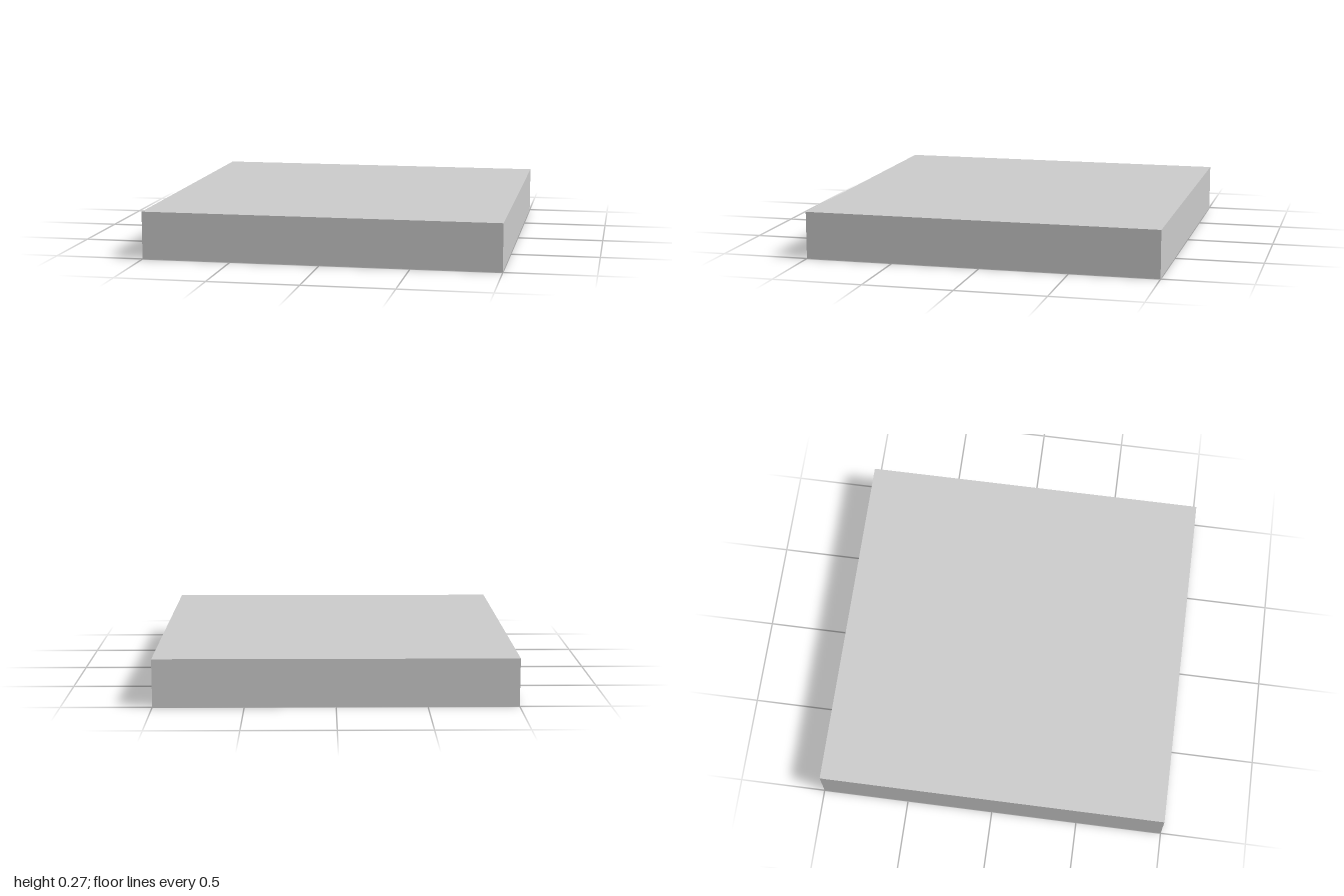
import * as THREE from 'three';

export function createModel() {
  const group = new THREE.Group();
  const material = new THREE.MeshStandardMaterial({ color: 0xcccccc });

  const height = 0.267;   // overall height of the casing
  const inner = 0.895;    // half-width of the opening underneath
  const ceiling = 0.155;  // height of the recess ceiling

  // Square casing open at the bottom: a profile swept round four corners
  const profile = [
    [0, ceiling], [inner, ceiling], [inner, 0],
    [1, 0], [1, height], [0, height],
  ].map(([r, y]) => new THREE.Vector2(r * Math.SQRT2, y));
  const casingGeometry = new THREE.LatheGeometry(profile, 4, Math.PI / 4).toNonIndexed();
  casingGeometry.computeVertexNormals();
  const casing = new THREE.Mesh(casingGeometry, material);
  casing.name = 'casing';
  group.add(casing);

  // Six round tubes running from the front wall to the back wall of the recess
  const tubes = new THREE.Group();
  tubes.name = 'tubes';
  tubes.position.set(-0.015, 0.085, 0);
  const tubeGeometry = new THREE.CylinderGeometry(0.067, 0.067, inner * 2, 32);
  tubeGeometry.rotateX(Math.PI / 2);
  for (const x of [0.155, 0.46, 0.735]) {
    for (const side of [-1, 1]) {
      const tube = new THREE.Mesh(tubeGeometry, material);
      tube.name = 'tube';
      tube.position.x = side * x;
      tubes.add(tube);
    }
  }
  group.add(tubes);

  return group;
}
